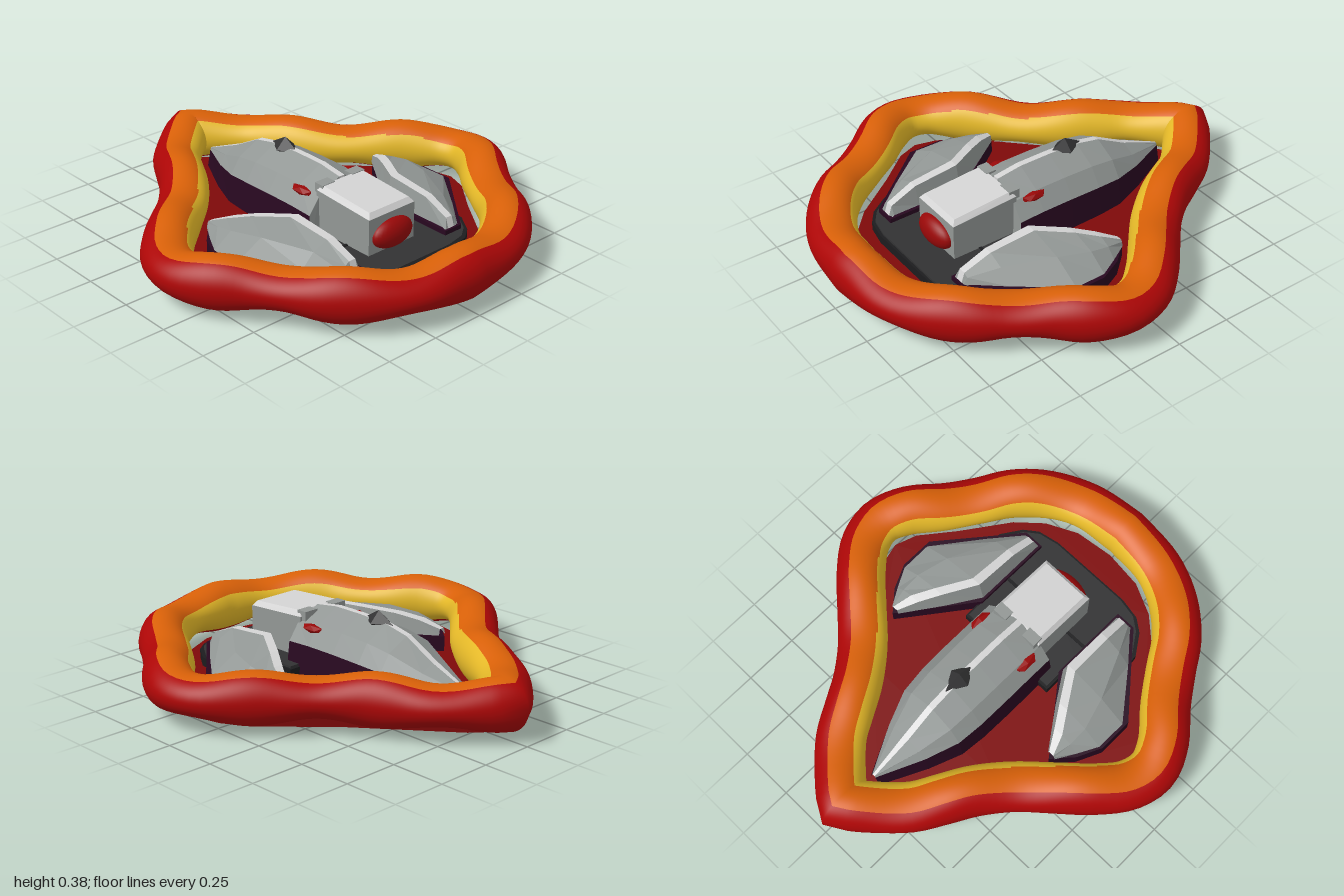
import * as THREE from 'three';

const mat = (name, color) => {
  const m = new THREE.MeshStandardMaterial({ color, side: THREE.DoubleSide });
  m.name = name;
  return m;
};

// Flat polygon of [x, z] points raised from y0 to y1
function slab(points, y0, y1) {
  const shape = new THREE.Shape(points.map(([x, z]) => new THREE.Vector2(x, -z)));
  const g = new THREE.ExtrudeGeometry(shape, { depth: y1 - y0, bevelEnabled: false });
  return g.rotateX(-Math.PI / 2).translate(0, y0, 0);
}

// Full outline from the half on the +x side
const mirror = (half) => [...half, ...half.filter((p) => p[0] > 0).reverse().map(([x, z]) => [-x, z])];

// Faceted skin over cross-sections; columns take their material from the list
function loft(sections, columns) {
  const pos = [], groups = [];
  columns.forEach((material, j) => {
    const start = pos.length / 3;
    for (let i = 0; i < sections.length - 1; i++) {
      const a = sections[i][j], b = sections[i][j + 1], c = sections[i + 1][j], d = sections[i + 1][j + 1];
      pos.push(...a, ...c, ...b, ...b, ...c, ...d);
    }
    groups.push([start, pos.length / 3 - start, material]);
  });
  const g = new THREE.BufferGeometry();
  g.setAttribute('position', new THREE.Float32BufferAttribute(pos, 3));
  groups.forEach((q) => g.addGroup(...q));
  g.computeVertexNormals();
  return g;
}

// Box whose top is narrower and slopes down toward the front
function slopedBox(w, h, d, inset, drop) {
  const g = new THREE.BoxGeometry(w, h, d).toNonIndexed();
  const p = g.attributes.position;
  for (let i = 0; i < p.count; i++) {
    const x = p.getX(i), y = p.getY(i), z = p.getZ(i);
    if (y > 0) p.setXYZ(i, x - Math.sign(x) * inset, y, z - Math.sign(z) * inset);
    if (y > 0 || inset > 0) p.setY(i, p.getY(i) - drop * (z / d + 0.5));
  }
  g.computeVertexNormals();
  return g;
}

// Centre line of the ring, from back tip around and back again
function ringPath() {
  const half = [[0, -0.878], [0.055, -0.838], [0.215, -0.685], [0.285, -0.57], [0.355, -0.45], [0.46, -0.32], [0.585, -0.205],
    [0.715, -0.085], [0.805, 0.03], [0.832, 0.15], [0.785, 0.27], [0.68, 0.4], [0.585, 0.54],
    [0.505, 0.665], [0.375, 0.785], [0.215, 0.862], [0, 0.888]];
  const curve = new THREE.CatmullRomCurve3(half.map(([x, z]) => new THREE.Vector3(x, 0, z)));
  return mirror(curve.getSpacedPoints(70).map((v, i) => [i % 70 ? v.x : 0, v.z]));
}

// Wavy tube with bands of colour around its section
function ringGeometry(path) {
  const n = path.length, sides = 72, pos = [], idx = [];
  path.forEach(([x, z], i) => {
    const a = path[(i + n - 1) % n], b = path[(i + 1) % n];
    const dx = b[0] - a[0], dz = b[1] - a[1], l = Math.hypot(dx, dz);
    const wave = Math.cos((i / n) * Math.PI * 20);
    const rh = i === 0 ? 0.122 : 0.109, rv = 0.099 + 0.016 * wave;
    for (let k = 0; k < sides; k++) {
      const t = (k / sides) * Math.PI * 2, r = rh * Math.cos(t);
      pos.push(x + (dz / l) * r, 0.148 + rv * Math.sin(t), z - (dx / l) * r);
    }
  });
  const g = new THREE.BufferGeometry();
  // the inner band climbs higher toward the back
  const inner = path.map(([, z]) => Math.min(28, Math.max(25, 28 + Math.round(z * 8))));
  for (let m = 0; m < 3; m++) {
    const start = idx.length;
    for (let i = 0; i < n; i++) {
      const [k0, k1] = [[46, 85], [13, inner[i]], [inner[i], 46]][m];
      for (let k = k0; k < k1; k++) {
        const a = i * sides, b = ((i + 1) % n) * sides, p = k % sides, q = (k + 1) % sides;
        idx.push(a + p, a + q, b + p, a + q, b + q, b + p);
      }
    }
    g.addGroup(start, idx.length - start, m);
  }
  g.setAttribute('position', new THREE.Float32BufferAttribute(pos, 3));
  g.setIndex(idx);
  g.computeVertexNormals();
  return g;
}

export function createModel() {
  const root = new THREE.Group();
  const red = mat('red', 0xac0606), orange = mat('orange', 0xd86008), yellow = mat('yellow', 0xe4b828);
  const darkRed = mat('dark red', 0x7e0909), crimson = mat('crimson', 0x980808), purple = mat('dark purple', 0x280820);
  const grey = mat('grey', 0x929795), light = mat('light grey', 0xd4d4d4);
  const charcoal = mat('charcoal', 0x323233), black = mat('near black', 0x1c1c1e);
  const add = (name, geo, material, x = 0, y = 0, z = 0) => {
    const m = new THREE.Mesh(geo, material);
    m.name = name;
    m.position.set(x, y, z);
    root.add(m);
    return m;
  };

  // Outer ring and the floor plate beneath it
  add('ring', ringGeometry(ringPath()), [red, orange, yellow]);
  const floor = mirror([[0, -0.79], [0.06, -0.74], [0.385, -0.335], [0.64, -0.08], [0.71, 0.04], [0.735, 0.14], [0.7, 0.24],
    [0.58, 0.39], [0.43, 0.6], [0.32, 0.7], [0.18, 0.768], [0, 0.79]]);
  add('floor', slab(floor, 0, 0.055), darkRed);

  // Front deck
  const deck = mirror([[0.25, 0.11], [0.25, 0.3], [0.43, 0.42], [0.42, 0.5], [0.36, 0.59], [0.3, 0.635], [0.2, 0.655]]);
  add('deckRim', slab(deck, 0.05, 0.095), black);
  add('deck', slab(deck.map(([x, z]) => [x * 0.96, 0.38 + (z - 0.38) * 0.96]), 0.09, 0.105), charcoal);
  add('deckGroove', new THREE.BoxGeometry(0.5, 0.006, 0.014), black, 0, 0.106, 0.365);

  // Central hull: dark flanks, faceted shell and pale ridge
  // z, half width, edge height, ridge height
  const hull = [[-0.7, 0.01, 0.13, 0.14], [-0.5, 0.11, 0.155, 0.225], [-0.35, 0.168, 0.18, 0.305], [-0.23, 0.18, 0.19, 0.33],
    [-0.08, 0.183, 0.195, 0.337], [0.07, 0.183, 0.195, 0.337], [0.19, 0.183, 0.19, 0.32], [0.195, 0.183, 0.06, 0.06]];
  add('hullShell', loft(hull.map(([z, w, e, t]) => {
    const r = Math.min(w * 0.6, 0.014);
    const side = [[w + 0.018, 0.05], [w, e], [w * 0.7, e + (t - e) * 0.58], [r, t]];
    return [...side.map(([x, y]) => [-x, y, z]), ...side.reverse().map(([x, y]) => [x, y, z])];
  }), [2, 0, 0, 1, 0, 0, 2]), [grey, light, purple]);
  const spike = add('spike', new THREE.OctahedronGeometry(1), charcoal, 0, 0.325, -0.175);
  spike.scale.set(0.05, 0.05, 0.085);

  // Head block with a domed lens
  add('headBody', slopedBox(0.26, 0.21, 0.32, 0, 0.02), grey, 0, 0.185, 0.335);
  add('headTop', slopedBox(0.26, 0.024, 0.32, 0.018, 0.02), light, 0, 0.301, 0.335);
  const lens = add('lens', new THREE.SphereGeometry(1, 28, 18), crimson, 0, 0.175, 0.495);
  lens.scale.set(0.11, 0.066, 0.052);

  for (const s of [1, -1]) {
    const side = s > 0 ? 'left' : 'right';
    add(side + 'HeadProng', new THREE.BoxGeometry(0.07, 0.06, 0.05), grey, s * 0.085, 0.285, 0.178);
    const gem = add(side + 'Gem', new THREE.IcosahedronGeometry(1), crimson, s * 0.135, 0.26, 0.09);
    gem.scale.set(0.03, 0.02, 0.064);

    // Side pods: dark base, sloped shell, broad pale ridge
    const base = [[0.48, -0.12], [0.56, -0.03], [0.612, 0.08], [0.612, 0.24], [0.445, 0.44], [0.33, 0.58], [0.235, 0.58], [0.235, 0.2]];
    add(side + 'PodBase', slab(base.map(([x, z]) => [s * x, z]), 0.05, 0.125), purple);
    // z, inner x, ridge from x, ridge to x, outer x, edge height, ridge height
    const pod = [[-0.105, 0.46, 0.465, 0.49, 0.5, 0.13, 0.16], [-0.02, 0.4, 0.415, 0.46, 0.55, 0.13, 0.195],
      [0.07, 0.337, 0.357, 0.402, 0.598, 0.13, 0.22], [0.215, 0.245, 0.267, 0.31, 0.6, 0.13, 0.24],
      [0.43, 0.245, 0.265, 0.303, 0.435, 0.13, 0.22], [0.555, 0.245, 0.262, 0.296, 0.33, 0.13, 0.17],
      [0.572, 0.245, 0.262, 0.296, 0.32, 0.12, 0.12]];
    add(side + 'PodShell', loft(pod.map(([z, a, r0, r1, o, e, t]) => {
      const row = [[a, e], [r0, t], [r1, t], [r1 + (o - r1) * 0.55, e + (t - e) * 0.66], [o, e]]
        .map(([x, y]) => [s * x, y, z]);
      return s > 0 ? row : row.reverse();
    }), s > 0 ? [0, 1, 0, 0] : [0, 0, 1, 0]), [grey, light]);
  }
  return root;
}
